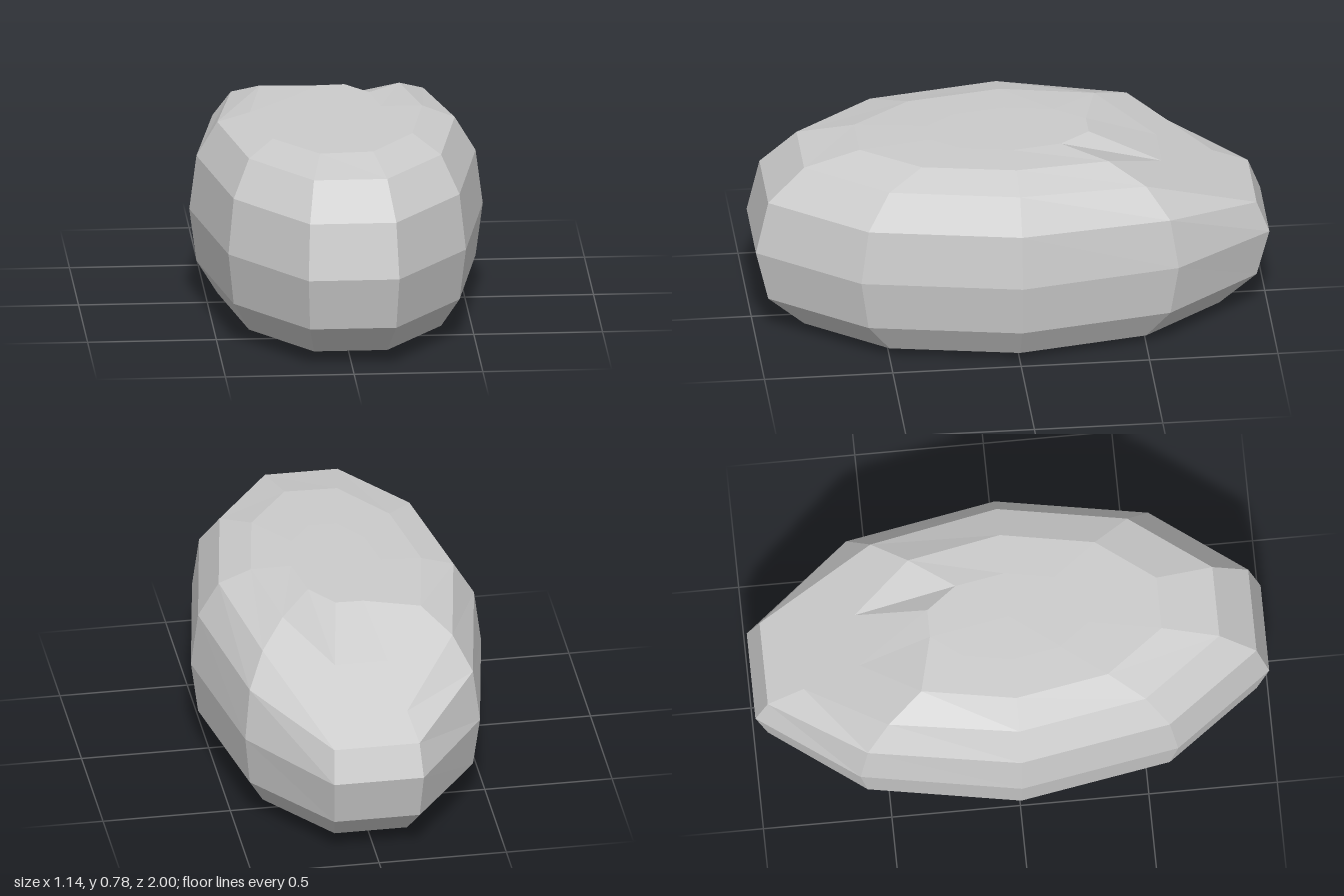
import * as THREE from 'three';

// Heights of the ten-sided rings, from the top pole to the bottom pole
const RING_HEIGHTS = [0.778, 0.777, 0.773, 0.73, 0.595, 0.38, 0.17, 0.038, 0.003, 0, 0];
const SIDES = 10;
const HALF_WIDTH = 0.57;
const HALF_LENGTH = 1 / Math.sin(THREE.MathUtils.degToRad(72));

export function createModel() {
  const group = new THREE.Group();
  group.name = 'stone';

  // Low-poly ball stretched along z and flattened at the top and bottom
  const ball = new THREE.SphereGeometry(1, SIDES, RING_HEIGHTS.length - 1);
  const pos = ball.attributes.position;
  for (let i = 0; i < pos.count; i++) {
    const ring = Math.floor(i / (SIDES + 1));
    const x = pos.getX(i) * HALF_WIDTH;
    const z = pos.getZ(i) * HALF_LENGTH;
    let y = RING_HEIGHTS[ring];
    // The top leans slightly toward the left
    if (ring < 3) y += 0.02 * x;
    // Sloping cut across the upper back
    y = Math.min(y, 0.765 + 0.466 * (z + 0.36));
    // The cut also pulls the back of the upper side rings down a little
    if (ring === 4 && z < -0.5) y = Math.min(y, 0.58);
    if (ring === 5 && z < -0.9) y -= 0.018;
    pos.setXYZ(i, x, y, z);
  }

  // Separate the faces for a faceted surface
  const geometry = ball.toNonIndexed();
  geometry.computeVertexNormals();
  const material = new THREE.MeshStandardMaterial({ color: 0xcccccc, flatShading: true });
  const body = new THREE.Mesh(geometry, material);
  body.name = 'stoneBody';
  group.add(body);
  return group;
}
